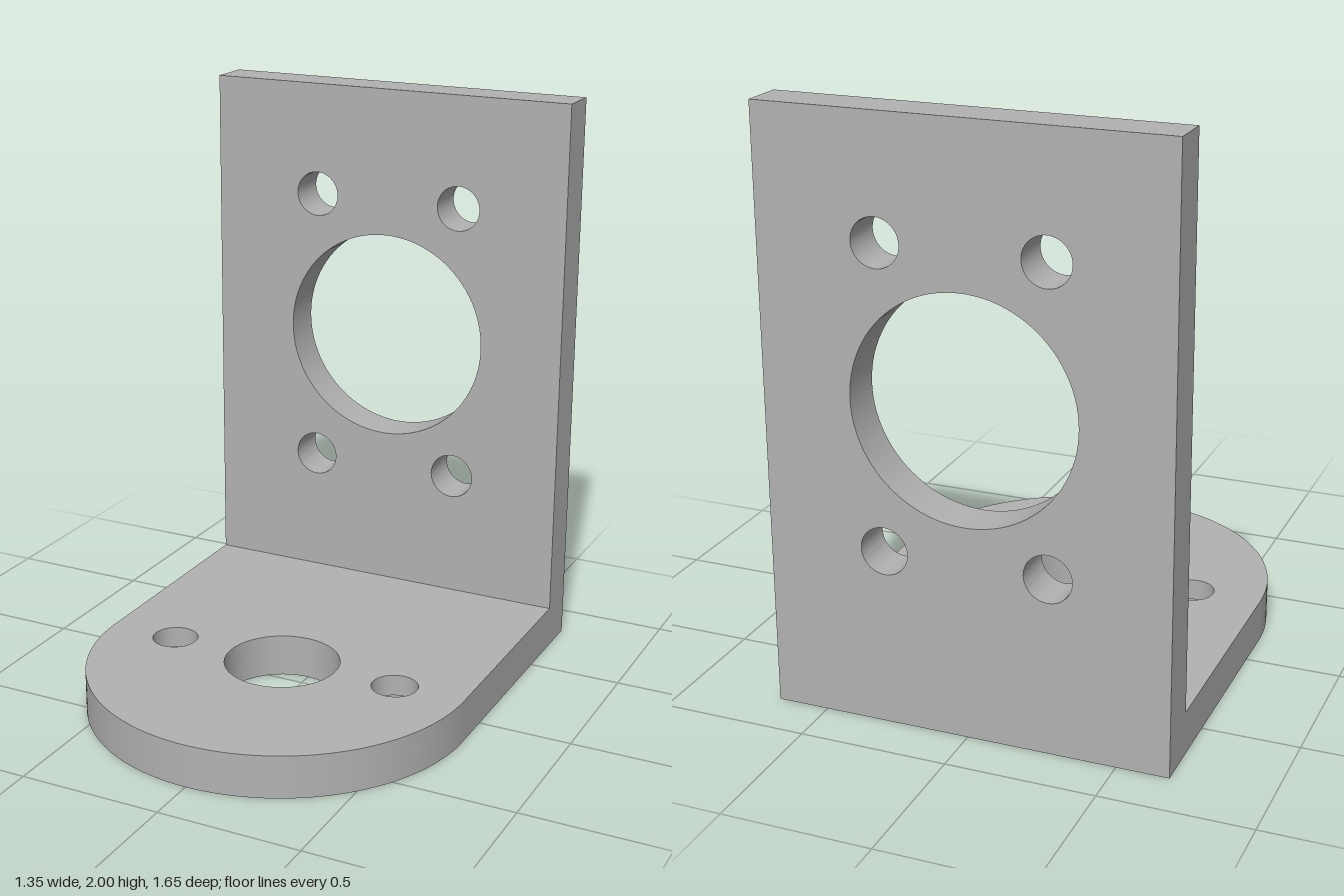
import * as THREE from 'three';
import { toCreasedNormals } from 'three/addons/utils/BufferGeometryUtils.js';

const HALF_W = 0.675, THICK = 0.15, BACK = -0.825, INNER = BACK + THICK;
const ARC_Z = 0.15;   // centre of the rounded end
const BORE_DEPTH = 0.075;

function addHole(shape, x, y, r) {
  const hole = new THREE.Path();
  hole.absarc(x, y, r, 0, Math.PI * 2, true);
  shape.holes.push(hole);
}

function extrude(shape, depth) {
  const geo = new THREE.ExtrudeGeometry(shape, { depth, bevelEnabled: false, curveSegments: 48 });
  return toCreasedNormals(geo, Math.PI / 6);
}

// One horizontal layer of the foot, with shape y running along world z
function footLayer(screwRadius, bottom, top) {
  const s = new THREE.Shape();
  s.moveTo(-HALF_W, INNER);
  s.lineTo(HALF_W, INNER);
  s.lineTo(HALF_W, ARC_Z);
  s.absarc(0, ARC_Z, HALF_W, 0, Math.PI, false);
  s.closePath();
  addHole(s, 0, ARC_Z, 0.2);
  for (const side of [-1, 1]) addHole(s, side * 0.425, ARC_Z, screwRadius);
  return extrude(s, top - bottom).rotateX(Math.PI / 2).translate(0, top, 0);
}

// Upright plate with a large opening and four screw holes
function uprightPlate() {
  const s = new THREE.Shape();
  s.moveTo(-HALF_W, 0);
  s.lineTo(HALF_W, 0);
  s.lineTo(HALF_W, 2);
  s.lineTo(-HALF_W, 2);
  s.closePath();
  addHole(s, 0, 1.1, 0.375);
  for (const x of [-0.275, 0.275]) for (const y of [0.6, 1.6]) addHole(s, x, y, 0.08);
  return extrude(s, THICK).translate(0, 0, BACK);
}

export function createModel() {
  const group = new THREE.Group();
  group.name = 'mountingBracket';
  const grey = new THREE.MeshStandardMaterial({ color: 0xb2b2b2 });
  grey.name = 'grey metal';

  const add = (name, geo) => {
    const mesh = new THREE.Mesh(geo, grey);
    mesh.name = name;
    group.add(mesh);
  };

  add('uprightPlate', uprightPlate());
  // Narrow screw holes above, wide counterbores below
  add('footUpperLayer', footLayer(0.08, BORE_DEPTH, THICK));
  add('footCounterboreLayer', footLayer(0.15, 0, BORE_DEPTH));
  return group;
}
